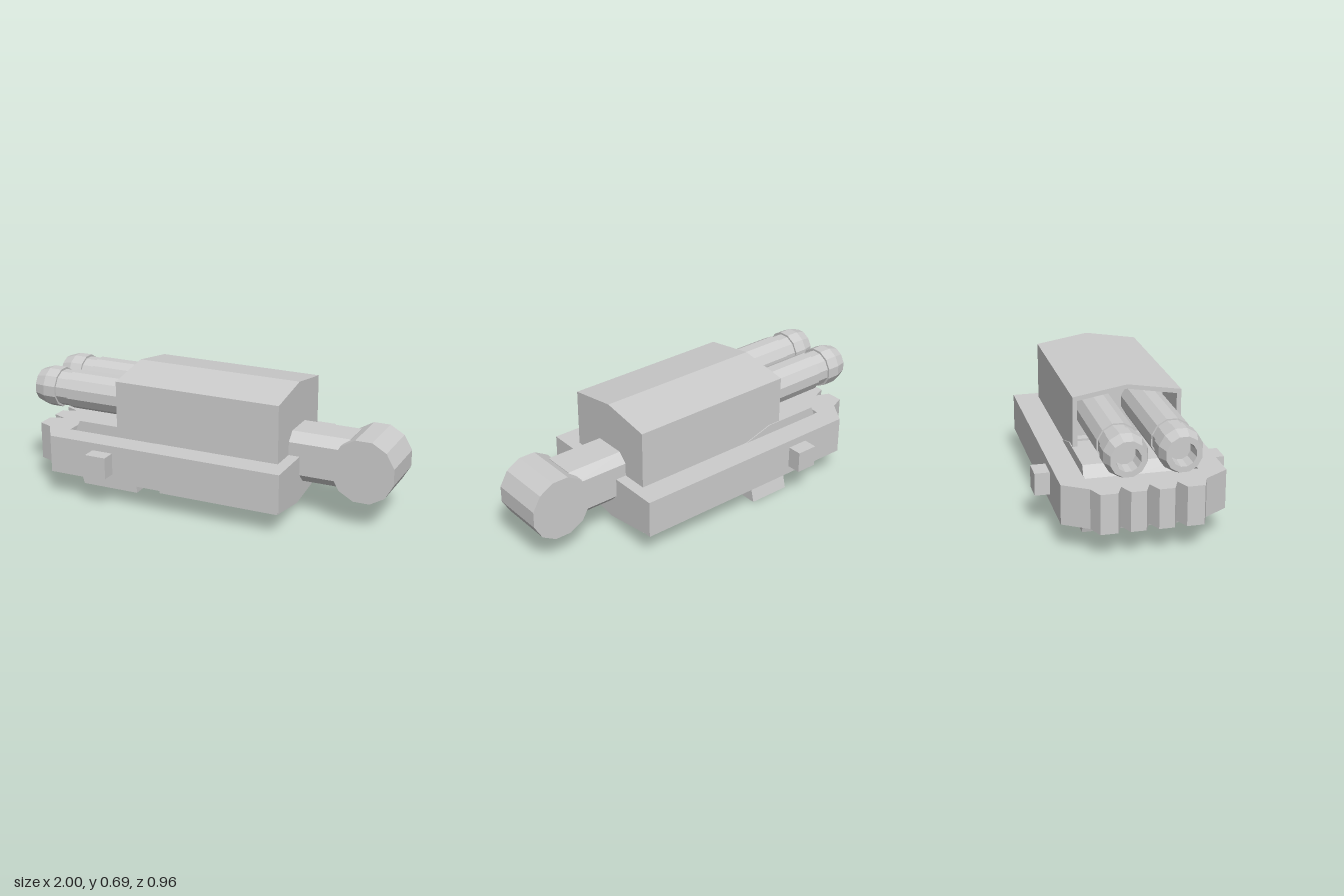
import * as THREE from 'three';

const mat = new THREE.MeshStandardMaterial({ color: 0xcccccc, flatShading: true, side: THREE.DoubleSide });

const shapeOf = (pts) => new THREE.Shape(pts.map(([a, b]) => new THREE.Vector2(a, b)));
const extrude = (shape, depth) => new THREE.ExtrudeGeometry(shape, { depth, bevelEnabled: false });

// Profile given as [z, y], swept along x from x0 to x1
function sweepX(pts, x0, x1, hole) {
  const flip = (list) => list.map(([z, y]) => [-z, y]);
  const shape = shapeOf(flip(pts));
  if (hole) shape.holes.push(shapeOf(flip(hole)));
  return extrude(shape, x1 - x0).rotateY(Math.PI / 2).translate(x0, 0, 0);
}

export function createModel() {
  const group = new THREE.Group();
  const add = (name, geometry) => {
    const mesh = new THREE.Mesh(geometry, mat);
    mesh.name = name;
    group.add(mesh);
    return mesh;
  };

  // Base slab: chamfered end with four teeth, and a rectangular well
  const half = [[-0.955, 0.03], [-0.955, 0.105], [-0.885, 0.135], [-0.955, 0.165],
    [-0.955, 0.25], [-0.88, 0.28], [-0.8, 0.403], [0.5, 0.403]];
  const mirrored = half.map(([x, z]) => [x, -z]).reverse();
  const slab = shapeOf([[-0.885, 0], ...half, ...mirrored]);
  slab.holes.push(shapeOf([[-0.755, -0.275], [-0.24, -0.275], [-0.24, 0.275], [-0.755, 0.275]]));
  add('baseSlab', extrude(slab, 0.2).rotateX(Math.PI / 2).translate(0, 0.335, 0));

  // Block seated in the well, showing above and below the slab
  const block = shapeOf([[-0.705, 0.385], [-0.755, 0.27], [-0.72, 0.135], [-0.69, 0.03],
    [-0.37, 0.03], [-0.37, 0.135], [-0.24, 0.135], [-0.24, 0.335], [-0.4, 0.385]]);
  add('wellBlock', extrude(block, 0.536).translate(0, 0, -0.278));

  // Main housing with ridged roof and keel
  add('housing', sweepX([[-0.273, 0.06], [0, 0.02], [0.273, 0.06], [0.273, 0.64], [0, 0.685], [-0.273, 0.64]],
    -0.225, 0.44));

  // Hollow hood around the barrels
  add('barrelHood', sweepX(
    [[-0.273, 0.335], [0.273, 0.335], [0.273, 0.64], [0, 0.685], [-0.273, 0.64]], -0.47, -0.225,
    [[-0.25, 0.345], [0.25, 0.345], [0.25, 0.62], [0, 0.663], [-0.25, 0.62]]));

  // Twin barrels with grooved neck, tapered muzzle and bore
  const barrel = [[0, 0.22], [0.104, 0.22], [0.104, 0.8], [0.097, 0.8], [0.097, 0.87],
    [0.108, 0.87], [0.108, 0.94], [0.088, 1], [0.06, 1], [0.055, 0.92], [0, 0.92]]
    .map(([r, y]) => new THREE.Vector2(r, y));
  for (const side of [-1, 1]) {
    const g = new THREE.LatheGeometry(barrel, 12, Math.PI / 12).rotateZ(Math.PI / 2);
    add(side > 0 ? 'frontBarrel' : 'rearBarrel', g.translate(0, 0.515, side * 0.13));
    // Square side peg
    add(side > 0 ? 'frontPeg' : 'rearPeg',
      new THREE.BoxGeometry(0.115, 0.115, 0.09).translate(-0.488, 0.237, side * 0.434));
  }

  // Chamfered arm and the drum on its end
  const a = 0.132, c = 0.085;
  add('arm', sweepX([[-c, -a], [c, -a], [a, -c], [a, c], [c, a], [-c, a], [-a, c], [-a, -c]]
    .map(([z, y]) => [z, y + 0.32]), 0.4, 0.75));
  add('drum', new THREE.CylinderGeometry(0.168, 0.168, 0.294, 12)
    .rotateY(Math.PI / 12).rotateX(Math.PI / 2).translate(0.837, 0.312, 0));

  // Foot below the slab
  add('foot', sweepX([[-0.345, 0], [-0.1, 0], [-0.1, 0.09], [-0.06, 0.15], [-0.305, 0.15]], -0.47, -0.24));

  return group;
}
